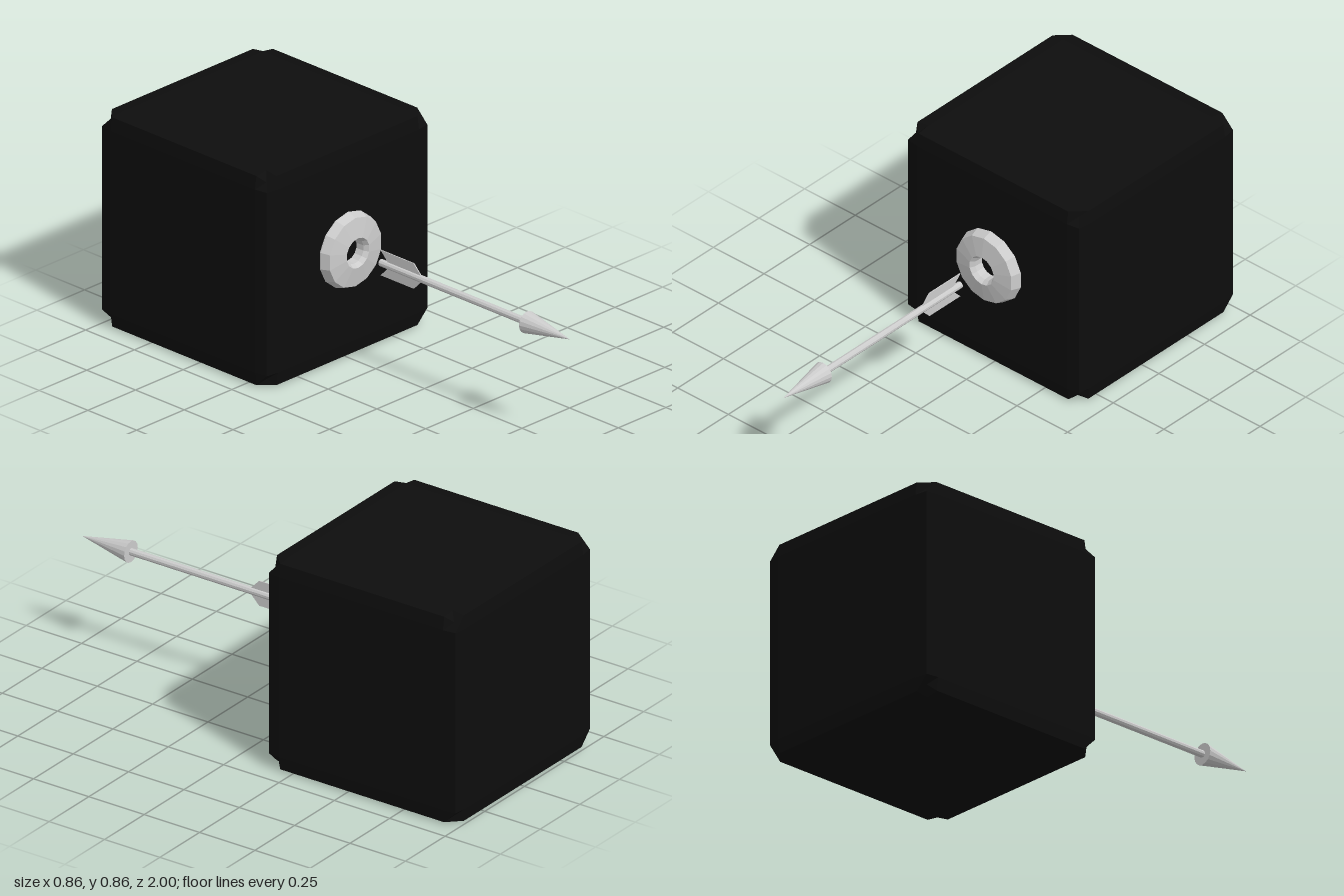
import * as THREE from 'three';

const AXIS_X = -0.004, AXIS_Y = 0.44;

export function createModel() {
  const model = new THREE.Group();
  model.name = 'cubeWithArrow';
  const grey = new THREE.MeshStandardMaterial({ color: 0xcccccc, flatShading: true });
  const black = new THREE.MeshStandardMaterial({ color: 0x0d0d0d, flatShading: true });
  const thin = new THREE.MeshStandardMaterial({ color: 0xcccccc, flatShading: true, side: THREE.DoubleSide });

  const add = (parent, name, geometry, material) => {
    const mesh = new THREE.Mesh(geometry, material);
    mesh.name = name;
    parent.add(mesh);
    return mesh;
  };

  // Solid of revolution about the z axis; profile holds [radius, z] pairs
  const turned = (profile, sides) =>
    new THREE.LatheGeometry(profile.map(([r, z]) => new THREE.Vector2(r, z)), sides).rotateX(Math.PI / 2);

  // Cube body: a 3x3x3 grid whose edges and corners are pulled in slightly
  const body = new THREE.BoxGeometry(2, 2, 2, 3, 3, 3);
  const pos = body.attributes.position;
  const reach = [0, 0.43, 0.422, 0.397];
  for (let i = 0; i < pos.count; i++) {
    const v = [pos.getX(i), pos.getY(i), pos.getZ(i)];
    const outer = v.filter((c) => Math.abs(c) > 0.9).length;
    pos.setXYZ(i, ...v.map((c) => Math.sign(c) * (Math.abs(c) > 0.9 ? reach[outer] : 0.37)));
  }
  add(model, 'cubeBody', body, black).position.set(0, 0.43, -0.57);

  // Collar around the opening on the front face
  const collar = turned([[0.15, -0.145], [0.15, -0.135], [0.138, -0.1], [0.06, -0.087], [0.048, -0.105], [0.046, -0.145]], 14);
  add(model, 'collar', collar, thin).position.set(AXIS_X, AXIS_Y, 0);

  // Arrow flying out of the opening
  const arrow = new THREE.Group();
  arrow.name = 'arrow';
  arrow.position.set(AXIS_X, AXIS_Y, 0);
  model.add(arrow);
  add(arrow, 'arrowShaft', turned([[0, 0.03], [0.014, 0.03], [0.014, 0.79], [0, 0.79]], 10), thin);
  add(arrow, 'arrowHead', turned([[0, 0.78], [0.043, 0.78], [0, 1]], 16), thin);

  // Swept fins above and below the tail
  for (const side of [1, -1]) {
    const fin = new THREE.Shape(
      [[0.24, 0.01], [0.2, 0.051], [0.03, 0.051], [0.07, 0.01]].map(([z, y]) => new THREE.Vector2(z, y * side)));
    const plate = new THREE.ExtrudeGeometry(fin, { depth: 0.004, bevelEnabled: false });
    plate.translate(0, 0, -0.002).rotateY(-Math.PI / 2);
    add(arrow, side > 0 ? 'upperFin' : 'lowerFin', plate, grey);
  }
  return model;
}
